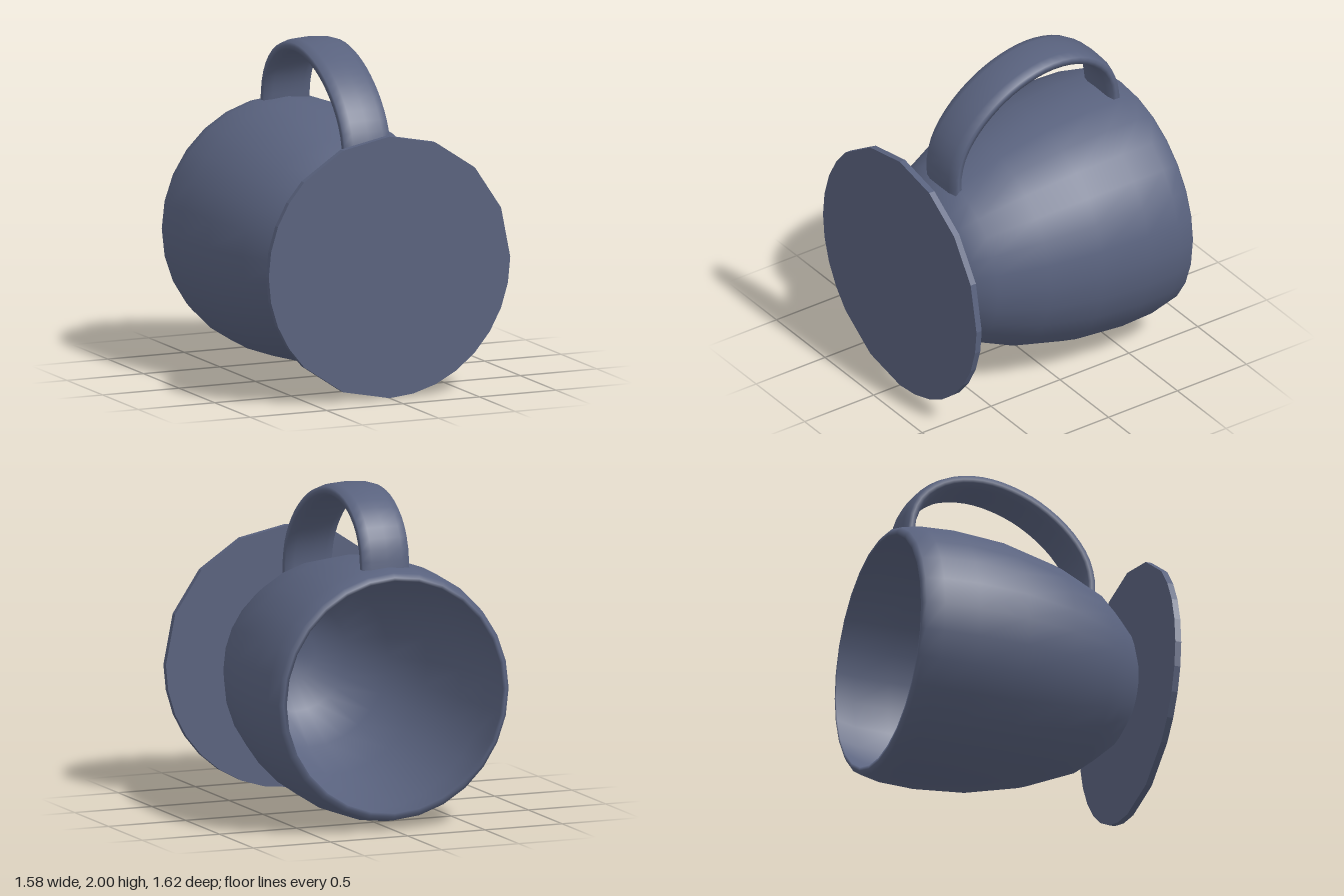
import * as THREE from 'three';

const material = new THREE.MeshStandardMaterial({ color: 0x59627e });

function part(name, geometry) {
  const mesh = new THREE.Mesh(geometry, material);
  mesh.name = name;
  return mesh;
}

// Cup lying on its side: [radius, z], base towards the front, mouth at the back
function cup() {
  const outer = [
    [0.72, -0.81], [0.745, -0.79], [0.768, -0.68], [0.776, -0.46], [0.75, -0.14],
    [0.67, 0.19], [0.545, 0.48], [0.455, 0.59], [0.36, 0.69], [0.25, 0.748], [0.17, 0.775], [0, 0.775],
  ];
  const inner = [
    [0, 0.74], [0.16, 0.735], [0.33, 0.66], [0.515, 0.46], [0.64, 0.18],
    [0.72, -0.15], [0.745, -0.46], [0.737, -0.68], [0.7, -0.81],
  ];
  const points = [...inner, ...outer].map(([r, z]) => new THREE.Vector2(r, z));
  const geometry = new THREE.LatheGeometry(points, 28);
  geometry.rotateX(Math.PI / 2);
  geometry.translate(0, 0.807, 0);
  return part('cup', geometry);
}

// Upright saucer: a 32-sided disc with some corners left out
function saucer() {
  const corners = [0, 1, 2, 3, 4, 5, 6, 7, 8, 10, 12, 14, 16, 18, 20, 21, 22, 23, 24, 25, 26, 27, 28, 30];
  const shape = new THREE.Shape(corners.map((i) => {
    const a = (i * Math.PI) / 16;
    return new THREE.Vector2(0.79 * Math.sin(a), 0.793 - 0.79 * Math.cos(a));
  }));
  const geometry = new THREE.ExtrudeGeometry(shape, { depth: 0.038, bevelEnabled: false });
  geometry.translate(0, 0, 0.772);
  return part('saucer', geometry);
}

// Arched strap handle: a tube widened sideways with flattened edges
function handle() {
  const path = [
    [1.29, 0.485], [1.42, 0.487], [1.57, 0.445], [1.74, 0.315], [1.89, 0.09], [1.958, -0.18],
    [1.922, -0.41], [1.81, -0.57], [1.68, -0.64], [1.54, -0.66],
  ].map(([y, z]) => new THREE.Vector3(0, y, z));
  const geometry = new THREE.TubeGeometry(new THREE.CatmullRomCurve3(path), 28, 0.043, 12, false);
  const position = geometry.attributes.position;
  for (let i = 0; i < position.count; i++) {
    position.setX(i, THREE.MathUtils.clamp(position.getX(i) * 4.6, -0.15, 0.15));
  }
  geometry.computeVertexNormals();
  return part('handle', geometry);
}

export function createModel() {
  const group = new THREE.Group();
  group.name = 'cupAndSaucer';
  group.add(cup(), saucer(), handle());
  return group;
}
